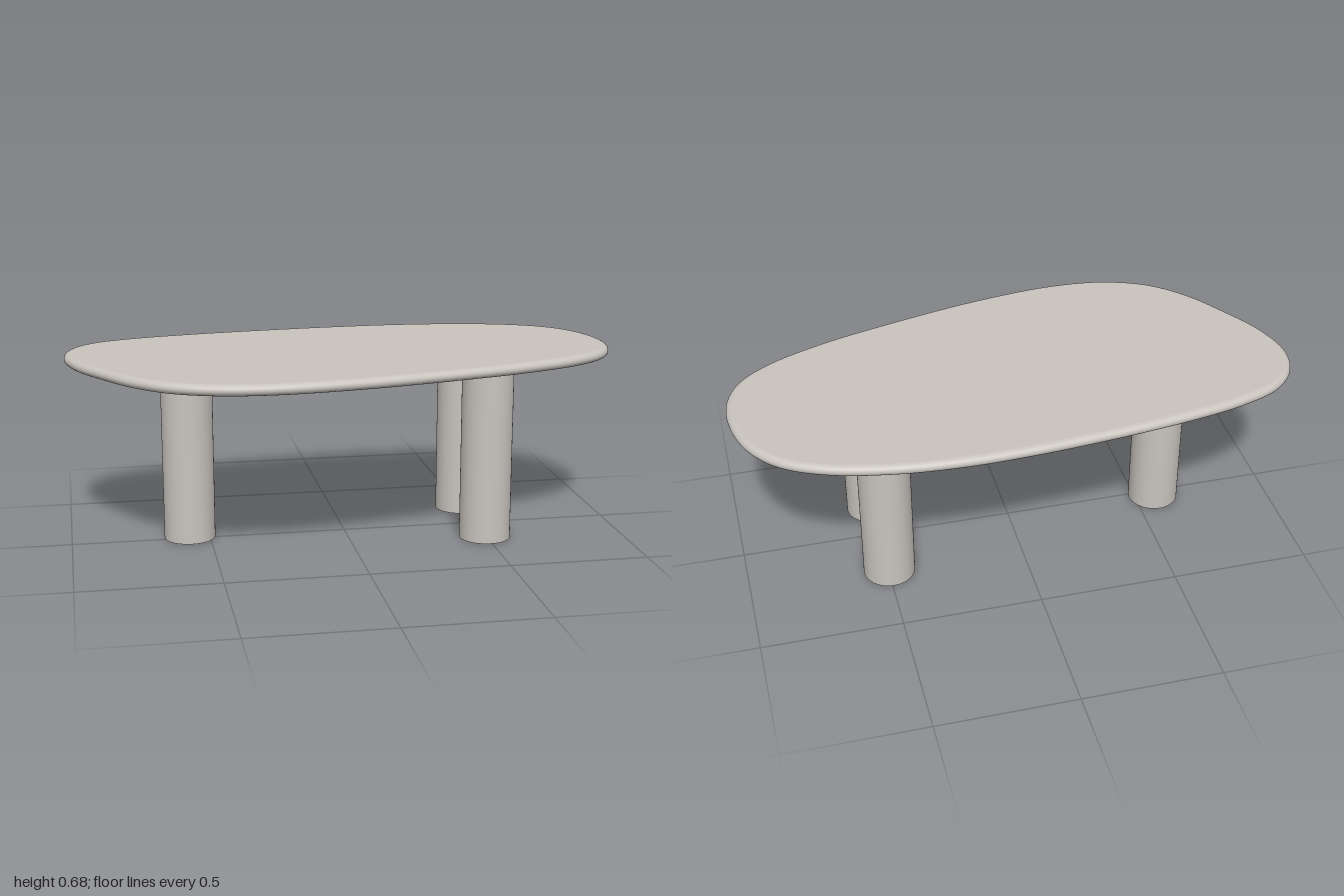
import * as THREE from 'three';

const TOP_Y = 0.6775, UNDER_Y = 0.6375, RIM_INSET = 0.024;

// Tabletop outline as [x, z], running clockwise seen from above
const OUTLINE = [
  [-1, -0.14], [-0.97, -0.255], [-0.89, -0.34], [-0.74, -0.4], [-0.5, -0.448],
  [-0.2, -0.484], [0.05, -0.503], [0.27, -0.507], [0.5, -0.488], [0.72, -0.436],
  [0.87, -0.355], [0.96, -0.235], [0.998, -0.08], [0.988, 0.04], [0.935, 0.14],
  [0.82, 0.228], [0.62, 0.313], [0.35, 0.39], [0, 0.468], [-0.3, 0.502],
  [-0.5, 0.484], [-0.66, 0.42], [-0.78, 0.312], [-0.88, 0.165], [-0.965, 0.01],
];

// Smooth outline samples with their outward normals
function sampleOutline(count) {
  const curve = new THREE.CatmullRomCurve3(
    OUTLINE.map(([x, z]) => new THREE.Vector3(x, 0, z)), true);
  return Array.from({ length: count }, (_, i) => {
    const p = curve.getPointAt(i / count);
    const t = curve.getTangentAt(i / count);
    return { x: p.x, z: p.z, nx: t.z, nz: -t.x };
  });
}

// Rounded edge: a half-ellipse section swept around the outline
function rimGeometry(samples, steps) {
  const positions = [], index = [], n = samples.length;
  const mid = (TOP_Y + UNDER_Y) / 2, half = (TOP_Y - UNDER_Y) / 2;
  for (let j = 0; j <= steps; j++) {
    const a = -Math.PI / 2 + (Math.PI * j) / steps;
    const offset = RIM_INSET * (Math.cos(a) - 1);
    for (const s of samples) {
      positions.push(s.x + s.nx * offset, mid + half * Math.sin(a), s.z + s.nz * offset);
    }
  }
  for (let j = 0; j < steps; j++) {
    for (let i = 0; i < n; i++) {
      const k = (i + 1) % n;
      const a = j * n + i, b = j * n + k, c = a + n, d = b + n;
      index.push(a, c, b, b, c, d);
    }
  }
  const geometry = new THREE.BufferGeometry();
  geometry.setAttribute('position', new THREE.Float32BufferAttribute(positions, 3));
  geometry.setIndex(index);
  geometry.computeVertexNormals();
  return geometry;
}

// Flat face inside the rim; side is 1 for the top and -1 for the underside
function faceGeometry(samples, side) {
  const points = samples.map((s) => new THREE.Vector2(
    s.x - s.nx * RIM_INSET, -side * (s.z - s.nz * RIM_INSET)));
  return new THREE.ShapeGeometry(new THREE.Shape(points))
    .rotateX(-side * Math.PI / 2)
    .translate(0, side > 0 ? TOP_Y : UNDER_Y, 0);
}

export function createModel() {
  const model = new THREE.Group();
  model.name = 'table';
  const stone = new THREE.MeshStandardMaterial({ name: 'warm grey', color: 0xc8c3bd });

  const add = (parent, name, geometry) => {
    const mesh = new THREE.Mesh(geometry, stone);
    mesh.name = name;
    parent.add(mesh);
    return mesh;
  };

  // Tabletop
  const tabletop = new THREE.Group();
  tabletop.name = 'tabletop';
  const samples = sampleOutline(180);
  add(tabletop, 'tabletopRim', rimGeometry(samples, 14));
  add(tabletop, 'tabletopSurface', faceGeometry(samples, 1));
  add(tabletop, 'tabletopUnderside', faceGeometry(samples, -1));
  model.add(tabletop);

  // Three round legs
  const legGeometry = new THREE.CylinderGeometry(0.093, 0.093, UNDER_Y, 64);
  const legs = [
    ['rightLeg', -0.572, -0.02],
    ['leftFrontLeg', 0.495, 0.166],
    ['leftBackLeg', 0.495, -0.206],
  ];
  for (const [name, x, z] of legs) {
    add(model, name, legGeometry).position.set(x, UNDER_Y / 2, z);
  }
  return model;
}
